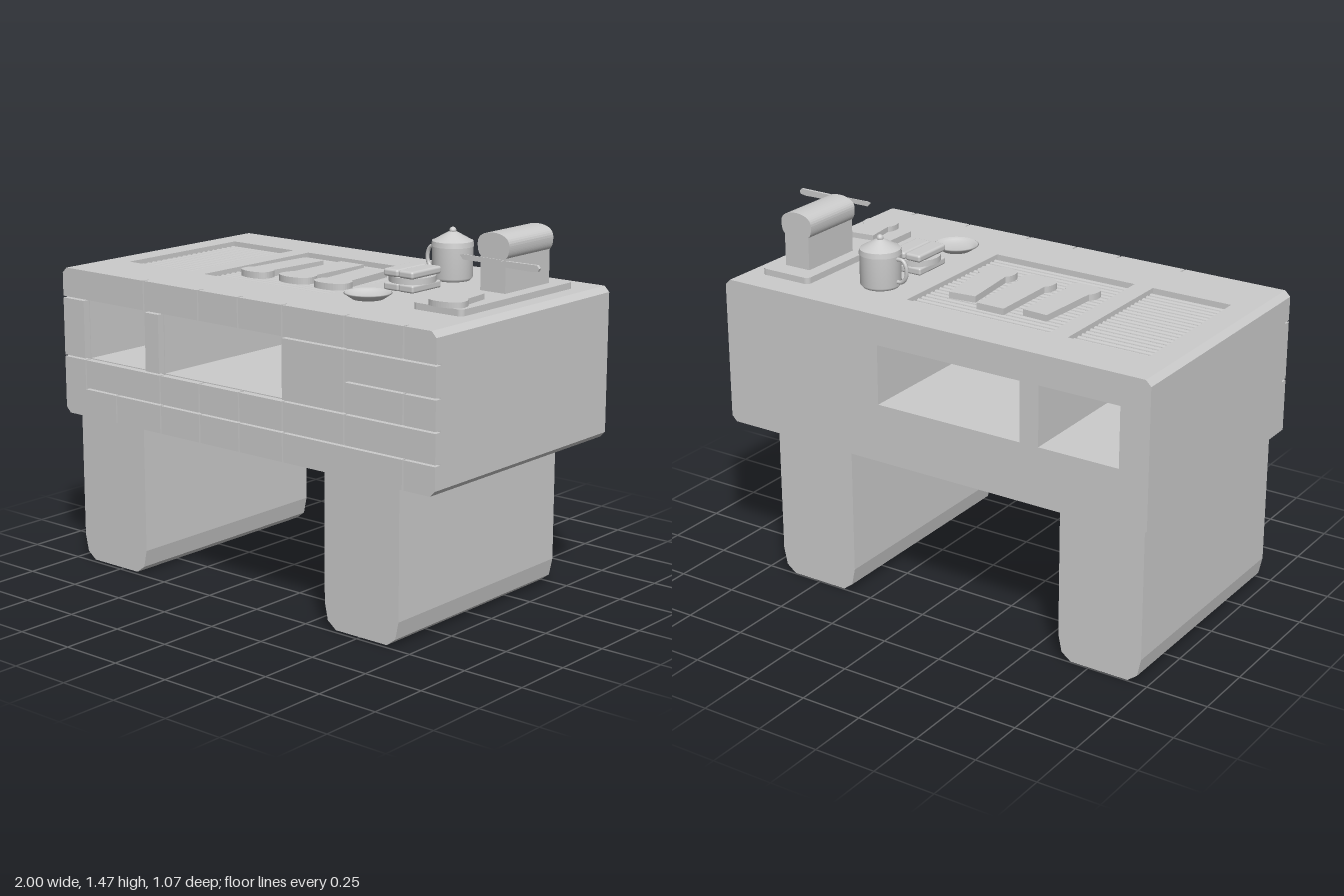
import * as THREE from 'three';
import { RoundedBoxGeometry } from 'three/addons/geometries/RoundedBoxGeometry.js';

const mat = new THREE.MeshStandardMaterial({ color: 0xcccccc, side: THREE.DoubleSide });

const poly = pts => new THREE.Shape(pts.map(p => new THREE.Vector2(p[0], p[1])));
const extrude = (shape, depth, z = 0, curveSegments = 10) =>
  new THREE.ExtrudeGeometry(shape, { depth, bevelEnabled: false, curveSegments }).translate(0, 0, z);

// Outer limits of the stone top and its two fire openings
const X0 = -1, X1 = 0.885, Y0 = 0.625, Y1 = 1.22, C = 0.022;
const HOLE_Y0 = 0.86, HOLE_Y1 = 1.1;
const openings = [[-0.88, -0.545], [-0.465, 0.165]];
const GRATE_Z0 = -0.34, GRATE_Z1 = 0.28, BACK = -0.535, FRONT = 0.535, MORTAR = 0.505;

// Bread outline: straight sides swelling into a domed crown, base at y = 0
function breadShape(neck, head, len) {
  const s = new THREE.Shape();
  const c = len - head * 0.62;
  s.moveTo(-neck, 0);
  s.lineTo(neck, 0);
  s.lineTo(neck, c - head * 0.65);
  s.quadraticCurveTo(head, c - head * 0.5, head, c);
  s.bezierCurveTo(head, c + head * 0.45, head * 0.5, len, 0, len);
  s.bezierCurveTo(-head * 0.5, len, -head, c + head * 0.45, -head, c);
  s.quadraticCurveTo(-head, c - head * 0.5, -neck, c - head * 0.65);
  s.closePath();
  return s;
}

// Rectangle whose corners are cut where they meet the outer corners of the top
function brickShape(x0, x1, y0, y1) {
  const cut = (x, y) => ((x === X0 || x === X1) && (y === Y0 || y === Y1) ? C : 0);
  const g = 0.0035;
  const a = x0 === X0 ? x0 : x0 + g, b = x1 === X1 ? x1 : x1 - g;
  const d = y0 === Y0 ? y0 : y0 + g, e = y1 === Y1 ? y1 : y1 - g;
  const c00 = cut(x0, y0), c10 = cut(x1, y0), c11 = cut(x1, y1), c01 = cut(x0, y1);
  return poly([[a + c00, d], [b - c10, d], [b, d + c10], [b, e - c11],
    [b - c11, e], [a + c01, e], [a, e - c01], [a, d + c00]]);
}

export function createModel() {
  const root = new THREE.Group();
  const add = (name, geo, x = 0, y = 0, z = 0, parent = root) => {
    const m = new THREE.Mesh(geo, mat);
    m.name = name;
    m.position.set(x, y, z);
    parent.add(m);
    return m;
  };
  const group = (name, x = 0, y = 0, z = 0) => {
    const g = new THREE.Group();
    g.name = name;
    g.position.set(x, y, z);
    root.add(g);
    return g;
  };

  // Stone top: closed slices front and back, a comb-like slice under the grates
  const body = group('stoneTop');
  const closed = poly([[X0 + C, Y0], [X1 - C, Y0], [X1, Y0 + C], [X1, Y1 - C],
    [X1 - C, Y1], [X0 + C, Y1], [X0, Y1 - C], [X0, Y0 + C]]);
  for (const [a, b] of openings)
    closed.holes.push(poly([[a, HOLE_Y0], [a, HOLE_Y1], [b, HOLE_Y1], [b, HOLE_Y0]]));
  const notches = [...openings].reverse().flatMap(([a, b]) => [[b, Y1], [b, HOLE_Y0], [a, HOLE_Y0], [a, Y1]]);
  const comb = poly([[X0 + C, Y0], [X1 - C, Y0], [X1, Y0 + C], [X1, Y1 - C],
    [X1 - C, Y1], ...notches, [X0 + C, Y1], [X0, Y1 - C], [X0, Y0 + C]]);
  add('backWall', extrude(closed, GRATE_Z0 - BACK, BACK), 0, 0, 0, body);
  add('middle', extrude(comb, GRATE_Z1 - GRATE_Z0, GRATE_Z0), 0, 0, 0, body);
  add('frontWall', extrude(closed, MORTAR - GRATE_Z1, GRATE_Z1), 0, 0, 0, body);

  // Front brick facing
  const bricks = group('brickFacing');
  const rows = [
    [1.1, Y1, [X0, -0.545, -0.255, -0.05, 0.17, 0.468, 0.74, X1]],
    [0.74, 0.86, [-0.88, -0.465, -0.255, -0.05, 0.17, 0.468, X1]],
    [Y0, 0.74, [-0.71, -0.465, -0.255, -0.05, 0.17, 0.74, X1]],
  ];
  const singles = [
    [X0, -0.88, 0.86, 1.1], [-0.545, -0.465, 0.86, 1.1], [0.165, 0.468, 0.86, 1.1],
    [0.468, X1, 0.98, 1.1], [0.468, 0.74, 0.86, 0.98], [0.74, X1, 0.86, 0.98],
  ];
  for (const [y0, y1, xs] of rows)
    for (let i = 0; i < xs.length - 1; i++) singles.push([xs[i], xs[i + 1], y0, y1]);
  for (const b of singles) add('brick', extrude(brickShape(...b), FRONT - MORTAR, MORTAR), 0, 0, 0, bricks);
  const corner = poly([[X0 + C, Y0], [-0.7135, Y0], [-0.7135, 0.7365], [-0.8835, 0.7365],
    [-0.8835, 0.8565], [X0, 0.8565], [X0, Y0 + C]]);
  add('cornerBrick', extrude(corner, FRONT - MORTAR, MORTAR), 0, 0, 0, bricks);

  // Legs: deep slabs with chamfered feet
  const w = 0.177;
  const leg = poly([[-w, 0.64], [-w, 0.1], [-w + 0.015, 0.03], [-w + 0.055, 0],
    [w - 0.055, 0], [w - 0.015, 0.03], [w, 0.1], [w, 0.64]]);
  for (const x of [-0.793, 0.505]) add('leg', extrude(leg, 0.975, -0.495), x);

  // Grill bars
  for (const [a, b] of openings) {
    const grate = group('grate');
    const bar = new THREE.CylinderGeometry(0.011, 0.011, b - a, 8).rotateZ(Math.PI / 2);
    for (let i = 0; i < 21; i++) add('bar', bar, (a + b) / 2, 1.192, GRATE_Z0 + 0.015 + i * 0.0295, grate);
  }

  // Bread: slices lying flat and the upright loaf
  const slice = (len, neck, head, t, x, y, z, turn) => {
    const g = extrude(breadShape(neck, head, len), t).rotateX(Math.PI / 2).translate(0, t, 0);
    add('breadSlice', g, x, y, z).rotation.y = turn;
  };
  slice(0.365, 0.054, 0.07, 0.026, -0.32, 1.203, -0.208, -0.06);
  slice(0.385, 0.06, 0.078, 0.026, -0.145, 1.203, -0.242, 0);
  slice(0.345, 0.056, 0.077, 0.026, 0.012, 1.203, -0.195, 0.1);
  slice(0.215, 0.056, 0.073, 0.022, 0.69, 1.245, 0.08, 0.12);
  add('loaf', extrude(breadShape(0.057, 0.072, 0.222), 0.28), 0.687, 1.245, -0.336);

  // Cutting board with rounded corners
  const r = 0.02, bw = 0.112, bl = 0.348;
  const board = new THREE.Shape();
  board.absarc(bw - r, bl - r, r, 0, Math.PI / 2);
  board.absarc(-bw + r, bl - r, r, Math.PI / 2, Math.PI);
  board.absarc(-bw + r, -bl + r, r, Math.PI, Math.PI * 1.5);
  board.absarc(bw - r, -bl + r, r, Math.PI * 1.5, Math.PI * 2);
  add('cuttingBoard', extrude(board, 0.025, 0, 5).rotateX(-Math.PI / 2), 0.688, 1.22, -0.067);

  // Knife hovering over the cut slice
  const knife = group('knife', 0, 1.388, 0.09);
  const blade = poly([[0.645, 0.012], [0.66, -0.004], [0.85, -0.004], [0.85, 0.014], [0.66, 0.016]]);
  add('blade', extrude(blade, 0.004, -0.002), 0, 0, 0, knife);
  const handle = poly([[0.83, -0.006], [0.86, -0.01], [0.97, -0.012], [0.995, -0.008], [1, 0.003],
    [0.99, 0.014], [0.86, 0.013], [0.83, 0.01]]);
  add('handle', extrude(handle, 0.012, -0.006), 0, 0, 0, knife);

  // Plate
  const v = (x, y) => new THREE.Vector2(x, y);
  add('plate', new THREE.LatheGeometry([v(0, 0.006), v(0.055, 0.006), v(0.077, 0.018), v(0.086, 0.025),
    v(0.091, 0.022), v(0.06, 0.001), v(0, 0.001)], 32), 0.335, 1.22, 0.24);

  // Lidded mug
  const mug = group('mug', 0.34, 1.22, -0.265);
  const wall = new THREE.LatheGeometry([v(0, 0), v(0.07, 0), v(0.08, 0.012), v(0.08, 0.135)], 28);
  add('cup', wall, 0, 0, 0, mug);
  add('lidRim', new THREE.CylinderGeometry(0.08, 0.083, 0.02, 28), 0, 0.142, 0, mug);
  add('lid', new THREE.CylinderGeometry(0.016, 0.08, 0.036, 28), 0, 0.169, 0, mug);
  add('knob', new THREE.SphereGeometry(0.014, 12, 8), 0, 0.191, 0, mug);
  const grip = new THREE.CatmullRomCurve3([[-0.075, 0.12], [-0.105, 0.118], [-0.12, 0.095], [-0.119, 0.055],
    [-0.1, 0.032], [-0.075, 0.028]].map(p => new THREE.Vector3(p[0], p[1], 0)));
  add('handle', new THREE.TubeGeometry(grip, 20, 0.008, 8), 0, 0, 0, mug);

  // Sandwich: two bread halves above and below a wider filling
  const sandwich = group('sandwich', 0.342, 1.22, -0.015);
  for (const s of [-1, 1]) {
    add('lowerBread', new RoundedBoxGeometry(0.07, 0.03, 0.175, 2, 0.008), s * 0.036, 0.016, 0, sandwich);
    add('upperBread', new RoundedBoxGeometry(0.07, 0.03, 0.18, 2, 0.01), s * 0.036, 0.069, 0, sandwich);
  }
  const filling = new THREE.CylinderGeometry(0.09, 0.09, 0.024, 20);
  add('filling', filling, 0, 0.043, 0, sandwich);

  return root;
}
